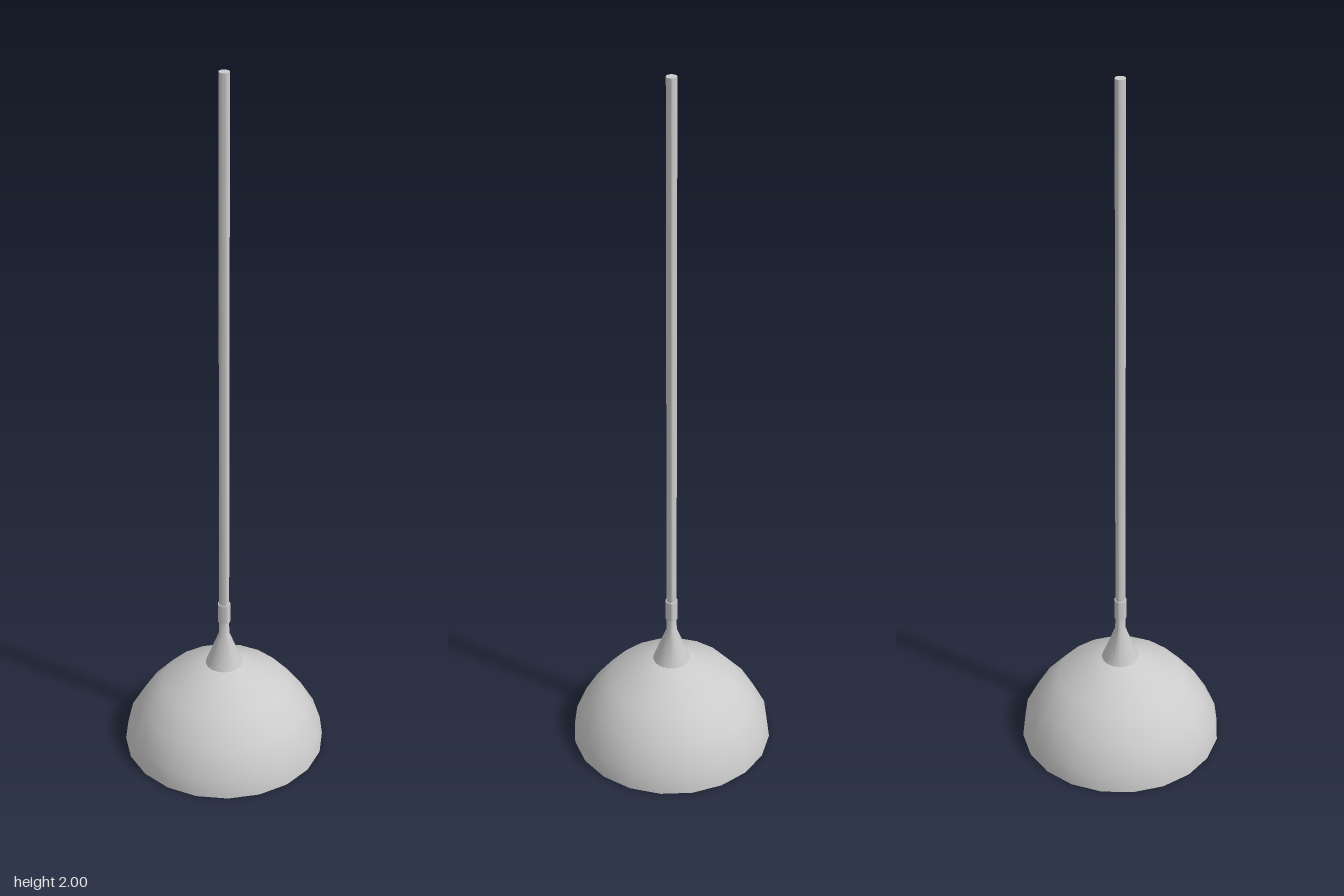
import * as THREE from 'three';
import { toCreasedNormals } from 'three/addons/utils/BufferGeometryUtils.js';

const grey = new THREE.MeshStandardMaterial({ color: 0xcccccc, side: THREE.DoubleSide });

// Revolve a list of [radius, height] points, listed from bottom to top on the outside
function turned(name, points, sides, crease = 0.7) {
  const profile = points.map(([r, y]) => new THREE.Vector2(r, y));
  const geometry = toCreasedNormals(new THREE.LatheGeometry(profile, sides), crease);
  const mesh = new THREE.Mesh(geometry, grey);
  mesh.name = name;
  return mesh;
}

export function createModel() {
  const lamp = new THREE.Group();
  lamp.name = 'pendantLamp';

  // Domed shade: inner skin down to the rim, then the outer skin up to the neck
  lamp.add(turned('shade', [
    [0, 0.24], [0.045, 0.238], [0.16, 0.178], [0.208, 0.12], [0.247, 0.055], [0.256, 0.005],
    [0.276, 0], [0.282, 0.002], [0.274, 0.06], [0.234, 0.13], [0.177, 0.196], [0.05, 0.263], [0, 0.264],
  ], 20));

  // Conical cap on top of the shade
  lamp.add(turned('cap', [[0, 0.262], [0.052, 0.262], [0.015, 0.36], [0.013, 0.41], [0, 0.41]], 24));

  // Collar joining cap and rod
  lamp.add(turned('collar', [[0, 0.4], [0.017, 0.4], [0.017, 0.46], [0, 0.46]], 20));

  // Long suspension rod
  lamp.add(turned('rod', [[0, 0.4], [0.014, 0.4], [0.014, 2], [0, 2]], 20));

  // Bulb and its socket inside the shade
  lamp.add(turned('socket', [[0, 0.165], [0.03, 0.165], [0.03, 0.245], [0, 0.245]], 20));
  const bulb = new THREE.Mesh(new THREE.SphereGeometry(0.058, 24, 16), grey);
  bulb.name = 'bulb';
  bulb.position.y = 0.128;
  lamp.add(bulb);

  return lamp;
}
